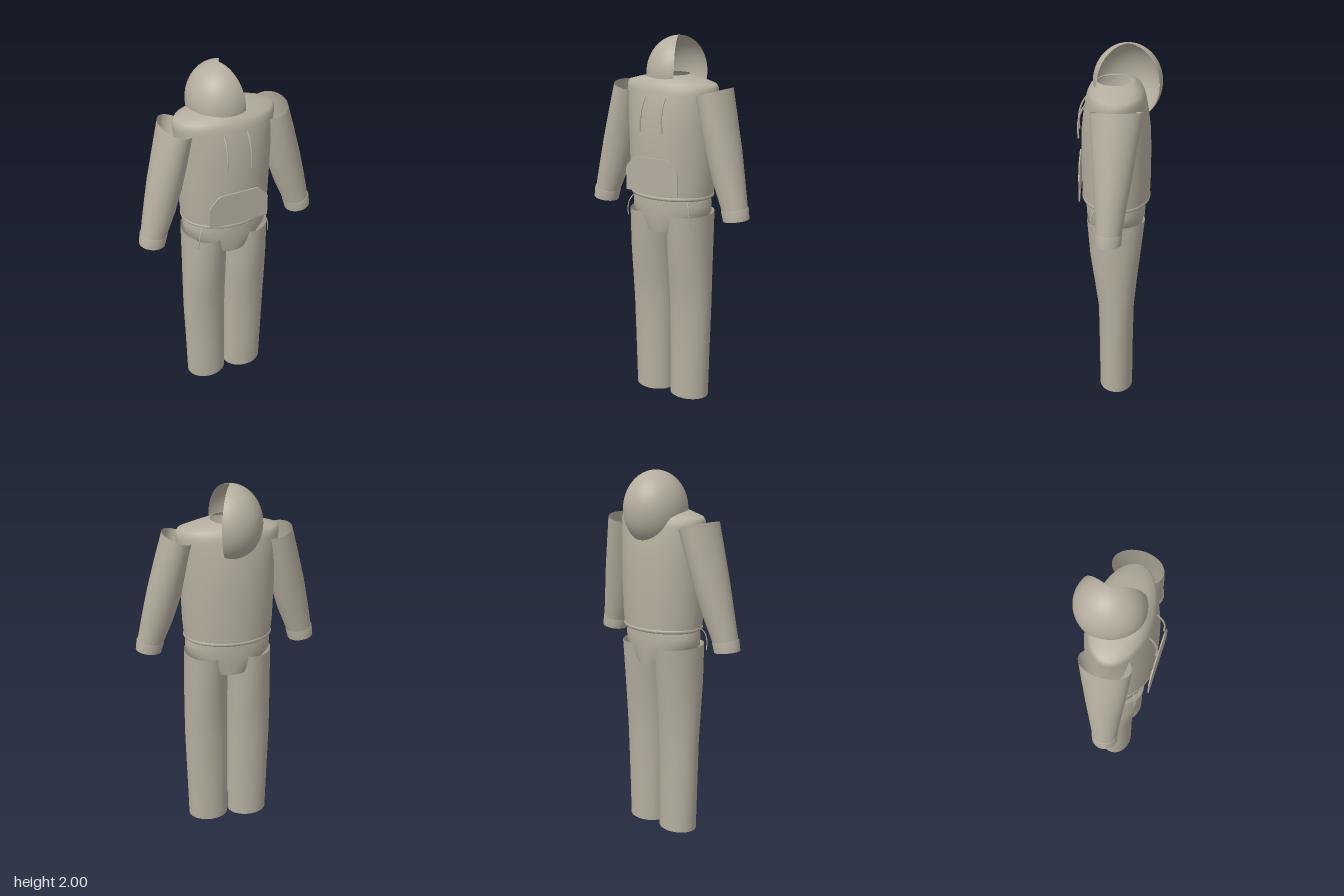
import * as THREE from 'three';

const cloth = new THREE.MeshStandardMaterial({ color: 0xb5ae9f, side: THREE.DoubleSide });
cloth.name = 'warm grey cloth';

// Surface through elliptical sections, bottom to top: [y, rx, rz, cx, cz, tilt]
function loft(rows, n = 40) {
  const pos = [], idx = [];
  rows.forEach(([y, rx, rz, cx = 0, cz = 0, tilt = 0], i) => {
    for (let j = 0; j < n; j++) {
      const a = (j / n) * Math.PI * 2, dx = Math.cos(a) * rx;
      pos.push(cx + dx, y + tilt * dx, cz + Math.sin(a) * rz);
      if (i === rows.length - 1) continue;
      const k = i * n + j, r = i * n + ((j + 1) % n);
      idx.push(k, k + n, r, r, k + n, r + n);
    }
  });
  const g = new THREE.BufferGeometry();
  g.setAttribute('position', new THREE.Float32BufferAttribute(pos, 3));
  g.setIndex(idx);
  g.computeVertexNormals();
  return g;
}

function cord(points, radius) {
  const curve = new THREE.CatmullRomCurve3(points.map(p => new THREE.Vector3(...p)));
  return new THREE.TubeGeometry(curve, 16, radius, 8);
}

export function createModel() {
  const model = new THREE.Group();
  model.name = 'hooded outfit';
  const add = (name, geometry) => {
    const mesh = new THREE.Mesh(geometry, cloth);
    mesh.name = name;
    model.add(mesh);
    return mesh;
  };

  // Sweater body with rounded shoulders and an open neck
  add('sweaterBody', loft([
    [1.16, 0.238, 0.182, 0, 0.02],
    [1.25, 0.246, 0.185, 0, 0.02],
    [1.40, 0.251, 0.186, 0, 0.02],
    [1.54, 0.256, 0.183, 0, 0.02],
    [1.65, 0.265, 0.170, 0, 0.02],
    [1.72, 0.273, 0.157, 0, 0.02],
    [1.745, 0.274, 0.150, 0, 0.02],
    [1.765, 0.262, 0.140, 0, 0.02],
    [1.785, 0.185, 0.122, 0, 0.02],
    [1.805, 0.090, 0.100, 0, 0.02],
  ]));

  // Hem band
  const hem = new THREE.TorusGeometry(1, 0.055, 10, 48);
  hem.rotateX(Math.PI / 2).scale(0.23, 0.22, 0.176);
  add('hemBand', hem).position.set(0, 1.167, 0.02);

  // Hood: a shell with a wedge open to one side
  const hood = new THREE.SphereGeometry(1, 40, 28, Math.PI * 1.35, Math.PI * 1.3, 0, Math.PI * 0.8);
  hood.scale(0.17, 0.2, 0.18);
  add('hood', hood).position.set(0, 1.8, -0.04);

  // Front pocket plate
  const outline = [[-0.164, 1.195], [0.164, 1.195], [0.164, 1.315], [0.155, 1.333],
    [0.116, 1.375], [0.1, 1.382], [-0.1, 1.382], [-0.116, 1.375], [-0.155, 1.333], [-0.164, 1.315]];
  const pocket = new THREE.Shape(outline.map(p => new THREE.Vector2(...p)));
  add('frontPocket', new THREE.ExtrudeGeometry(pocket, { depth: 0.007, bevelEnabled: false }))
    .position.z = 0.211;

  // Hips, narrowing to an open crotch panel
  add('trouserHips', loft([
    [0.97, 0.130, 0.148, 0, 0.021],
    [1.02, 0.185, 0.156, 0, 0.022],
    [1.07, 0.232, 0.160, 0, 0.022],
    [1.12, 0.234, 0.162, 0, 0.022],
    [1.16, 0.226, 0.160, 0, 0.022],
  ]));

  for (const s of [1, -1]) {
    const side = s > 0 ? 'left' : 'right';

    // Open tapered trouser leg
    add(side + 'TrouserLeg', loft([
      [0, 0.116, 0.113, 0.093, 0.022],
      [0.25, 0.119, 0.117, 0.094, 0.022],
      [0.53, 0.123, 0.121, 0.098, 0.021],
      [0.70, 0.123, 0.121, 0.117, 0.024],
      [0.86, 0.122, 0.120, 0.137, 0.026],
      [1.07, 0.120, 0.118, 0.156, 0.022],
    ].map(([y, cx, rx, rz, cz]) => [y, rx, rz, s * cx, cz])));

    // Sleeve, open at the shoulder
    const mirrored = rows => rows.map(([y, rx, rz, cx, cz, t]) => [y, rx, rz, s * cx, cz, s * t]);
    add(side + 'Sleeve', loft(mirrored([
      [1.09, 0.066, 0.064, 0.429, 0.060, 0.16],
      [1.15, 0.070, 0.068, 0.414, 0.056, 0.18],
      [1.28, 0.083, 0.083, 0.375, 0.047, 0.2],
      [1.42, 0.089, 0.100, 0.338, 0.037, 0.23],
      [1.58, 0.086, 0.118, 0.298, 0.027, 0.27],
      [1.727, 0.081, 0.132, 0.262, 0.017, 0.3],
    ])));

    // Cuff and its closed end
    add(side + 'Cuff', loft(mirrored([
      [1.08, 0.069, 0.067, 0.430, 0.060, 0.15],
      [1.135, 0.073, 0.070, 0.419, 0.058, 0.18],
      [1.138, 0.066, 0.064, 0.418, 0.058, 0.18],
    ])));
    add(side + 'CuffEnd', loft(mirrored([
      [1.08, 0, 0, 0.430, 0.060, 0.15],
      [1.08, 0.069, 0.067, 0.430, 0.060, 0.15],
    ])));

    // Hood cord hanging on the chest
    add(side + 'HoodCord', cord([
      [s * 0.063, 1.705, 0.172], [s * 0.064, 1.66, 0.2],
      [s * 0.066, 1.6, 0.217], [s * 0.069, 1.515, 0.217],
    ], 0.005));

    // Thin waist cord at the hip
    add(side + 'WaistCord', cord([
      [s * 0.175, 1.15, 0.135], [s * 0.192, 1.12, 0.152],
      [s * 0.201, 1.08, 0.157], [s * 0.205, 1.03, 0.15],
    ], 0.003));
  }
  return model;
}
